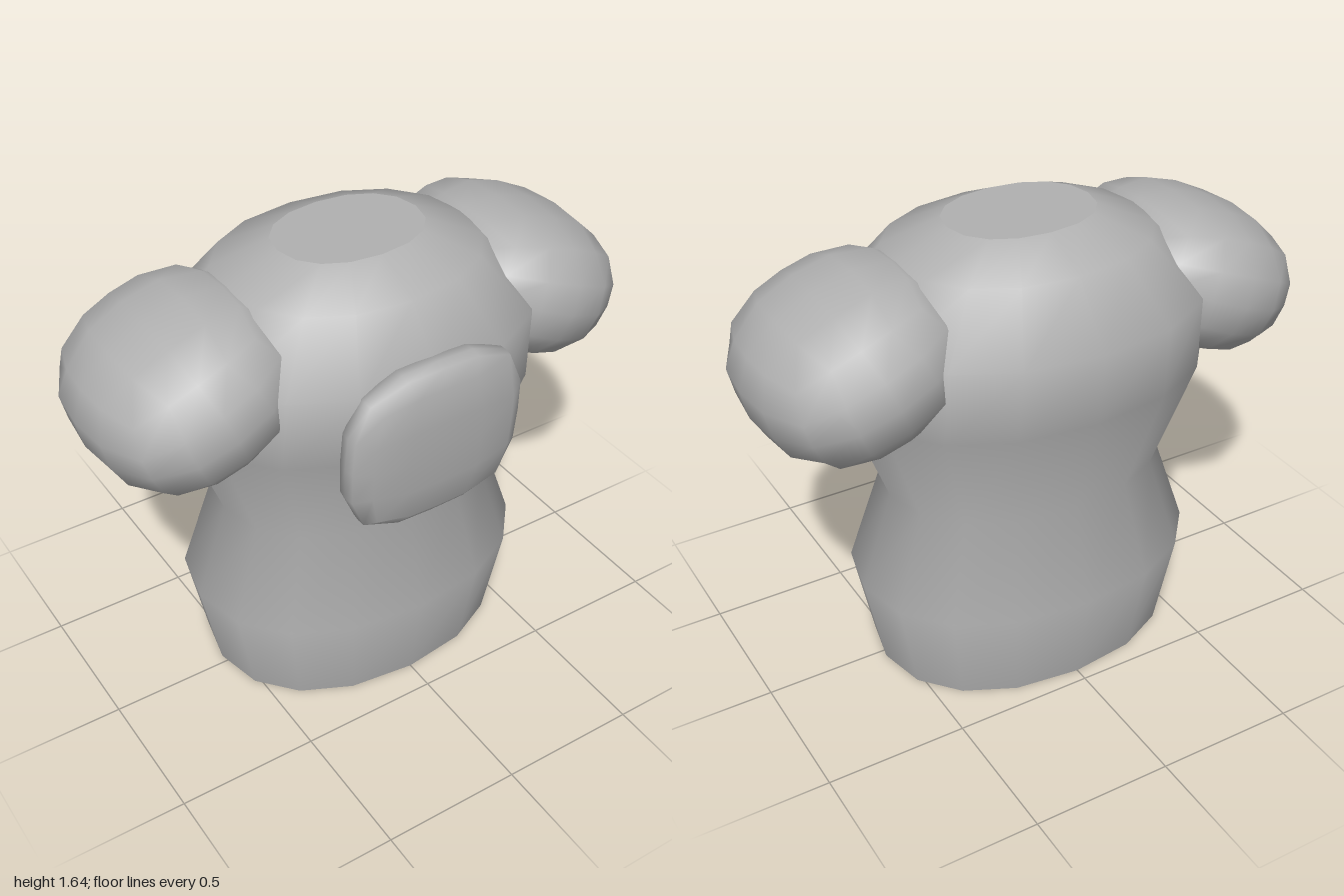
import * as THREE from 'three';
import { mergeVertices } from 'three/addons/utils/BufferGeometryUtils.js';

const grey = new THREE.MeshStandardMaterial({ color: 0xb0b0b0 });
grey.name = 'clay grey';

const SIDES = 16;
const BODY_Z = -0.03;

// Torso cross-sections from the bottom up: height, half width, half depth
const RINGS = [
  [0, 0.56, 0.42],
  [0.35, 0.63, 0.475],
  [0.7, 0.51, 0.385],
  [1.1, 0.66, 0.505],
  [1.36, 0.65, 0.525],
  [1.565, 0.46, 0.37],
  [1.645, 0.265, 0.2],
];

function moveVertices(geometry, rule) {
  const p = geometry.attributes.position;
  const v = new THREE.Vector3();
  for (let i = 0; i < p.count; i++) {
    v.fromBufferAttribute(p, i);
    rule(v);
    p.setXYZ(i, v.x, v.y, v.z);
  }
  return geometry;
}

// Join split vertices so that the whole surface is shaded smoothly
function smooth(geometry) {
  geometry.deleteAttribute('uv');
  geometry.deleteAttribute('normal');
  const merged = mergeVertices(geometry, 1e-4);
  merged.computeVertexNormals();
  return merged;
}

// Place a unit-circle point on a slightly squared oval ring
function onRing(v, [y, halfWidth, halfDepth]) {
  const square = (t) => Math.sign(t) * Math.abs(t) ** 0.91;
  v.set(square(v.x) * halfWidth, y, square(v.z) * halfDepth + BODY_Z);
}

function addMesh(parent, geometry, name) {
  const mesh = new THREE.Mesh(geometry, grey);
  mesh.name = name;
  parent.add(mesh);
  return mesh;
}

// Rounded pillow: a cube grid projected onto a superellipsoid
function pillow(halfX, halfY, halfZ, power) {
  const geometry = new THREE.BoxGeometry(2, 2, 2, 4, 4, 4);
  moveVertices(geometry, (v) => {
    const c = v.toArray().map((t) => Math.tan((t * Math.PI) / 4));
    const length = c.reduce((sum, t) => sum + Math.abs(t) ** power, 0) ** (1 / power);
    v.set((c[0] / length) * halfX, (c[1] / length) * halfY, (c[2] / length) * halfZ);
  });
  return smooth(geometry);
}

export function createModel() {
  const model = new THREE.Group();
  model.name = 'torso model';

  // Torso wall
  const last = RINGS.length - 1;
  const wall = new THREE.CylinderGeometry(1, 1, 1, SIDES, last, true);
  moveVertices(wall, (v) => onRing(v, RINGS[Math.round((v.y + 0.5) * last)]));
  addMesh(model, smooth(wall), 'torso');

  // Flat neck and waist ends with sharp rims
  for (const [name, ring, turn] of [['neckCap', RINGS[last], -1], ['bottomCap', RINGS[0], 1]]) {
    const cap = new THREE.CircleGeometry(1, SIDES).rotateX((turn * Math.PI) / 2);
    moveVertices(cap, (v) => onRing(v, ring));
    cap.computeVertexNormals();
    addMesh(model, cap, name);
  }

  // Shoulders, sloping down towards the outside
  const shoulder = pillow(0.36, 0.262, 0.405, 2.4);
  for (const [name, side] of [['leftShoulder', 1], ['rightShoulder', -1]]) {
    const mesh = addMesh(model, shoulder, name);
    mesh.position.set(side * 0.643, 1.297, -0.035);
    mesh.rotation.z = -side * 0.384;
  }

  // Chest plate, leaning slightly forward at the top
  const plate = addMesh(model, pillow(0.328, 0.303, 0.09, 3.4), 'chestPlate');
  plate.position.set(0, 1.118, 0.46);
  plate.rotation.x = 0.07;

  return model;
}
